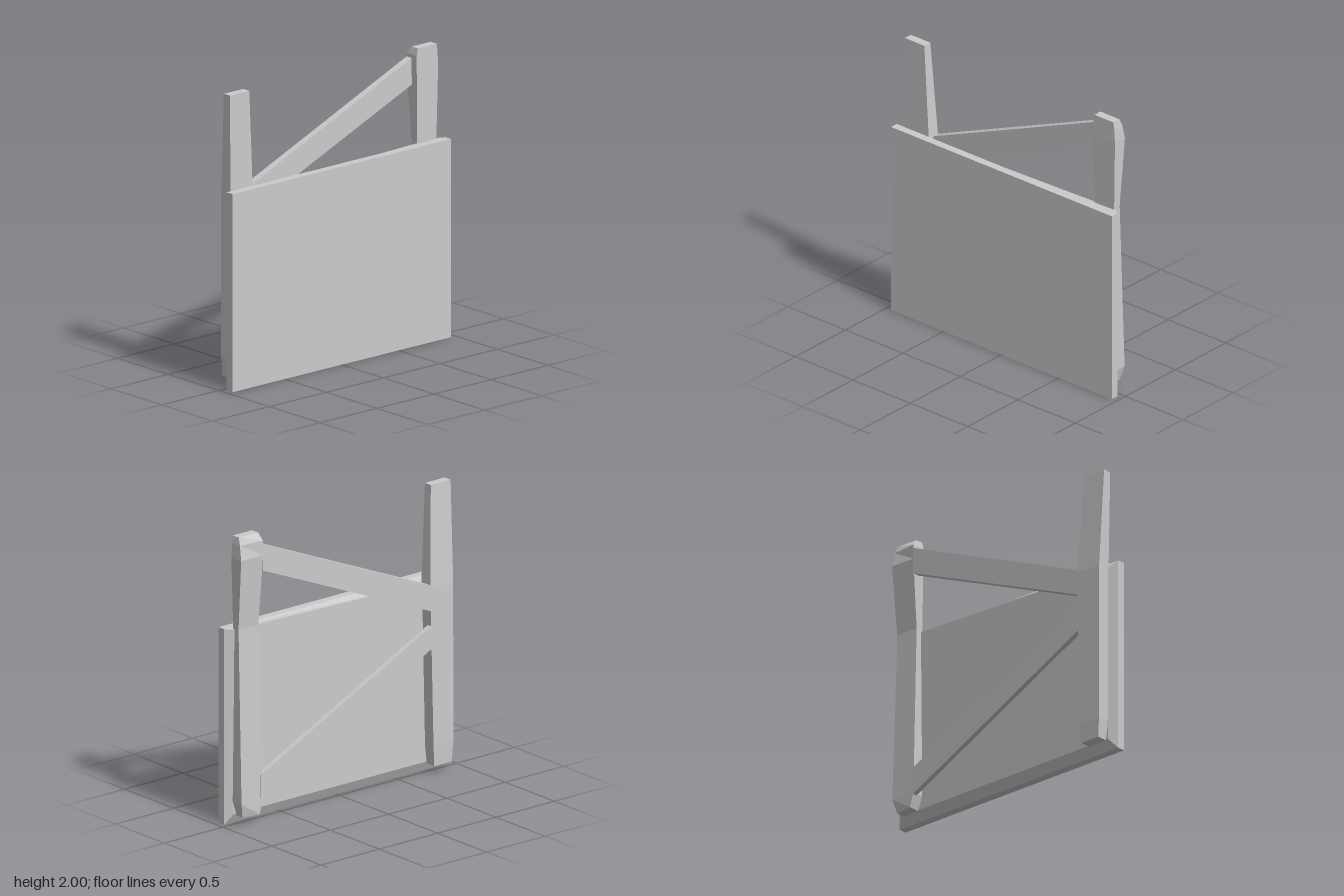
import * as THREE from 'three';

const material = new THREE.MeshStandardMaterial({ color: 0xcccccc, flatShading: true });

// Joins four-cornered rings into a closed solid; corners run anticlockwise seen from the first ring's end.
function loft(rings) {
  const p = [];
  const quad = (a, b, c, d) => p.push(...a, ...b, ...c, ...a, ...c, ...d);
  quad(...rings[0]);
  for (let r = 0; r < rings.length - 1; r++) {
    for (let i = 0; i < 4; i++) {
      const j = (i + 1) % 4;
      quad(rings[r][i], rings[r + 1][i], rings[r + 1][j], rings[r][j]);
    }
  }
  quad(...[...rings[rings.length - 1]].reverse());
  const g = new THREE.BufferGeometry();
  g.setAttribute('position', new THREE.Float32BufferAttribute(p, 3));
  g.computeVertexNormals();
  return g;
}

// Horizontal post section: height, x range, front z, back z at the low-x and high-x corners
const section = ([y, x0, x1, zf, zb0, zb1 = zb0]) =>
  [[x0, y, zf], [x1, y, zf], [x1, y, zb1], [x0, y, zb0]];

// Flat plank cut to an outline in the xy plane
function plank(points, zBack, depth) {
  const shape = new THREE.Shape(points.map(([x, y]) => new THREE.Vector2(x, y)));
  return new THREE.ExtrudeGeometry(shape, { depth, bevelEnabled: false }).translate(0, 0, zBack);
}

export function createModel() {
  const group = new THREE.Group();
  const add = (name, geometry) => {
    const mesh = new THREE.Mesh(geometry, material);
    mesh.name = name;
    group.add(mesh);
  };

  // Board with a bevelled back
  const rect = (z) => [[-0.96, 0, z], [0.96, 0, z], [0.96, 1.355, z], [-0.96, 1.355, z]];
  add('board', loft([
    rect(0.09),
    rect(0.033),
    [[-0.9, 0.07, -0.003], [0.91, 0.07, -0.003], [0.91, 1.35, -0.008], [-0.9, 1.31, -0.003]],
  ]));

  // Left post, pinched thinner where it meets the board's top edge
  add('leftPost', loft([
    [2, 0.74, 0.905, 0.01, -0.05],
    [1.95, 0.73, 0.912, 0.01, -0.09, -0.07],
    [1.85, 0.73, 0.918, 0.01, -0.09],
    [1.36, 0.737, 0.907, 0.005, -0.05],
    [0.16, 0.73, 0.915, 0, -0.09],
    [0.06, 0.76, 0.89, -0.01, -0.09, -0.07],
  ].map(section)));

  // Right post, widening downwards
  add('rightPost', loft([
    [2, -0.91, -0.74, 0.01, -0.05],
    [1.3, -0.9, -0.705, 0.005, -0.088],
    [0.2, -0.9, -0.73, 0, -0.09],
    [0.06, -0.89, -0.74, -0.01, -0.085],
  ].map(section)));

  // Diagonal braces behind the board
  add('upperBrace', plank([[-0.715, 1.14], [0.735, 1.745], [0.735, 1.928], [-0.715, 1.318]], -0.09, 0.05));
  add('lowerBrace', plank([[-0.715, 0.88], [0.75, 0.14], [0.75, 0.33], [-0.715, 1.04]], -0.09, 0.035));

  return group;
}
